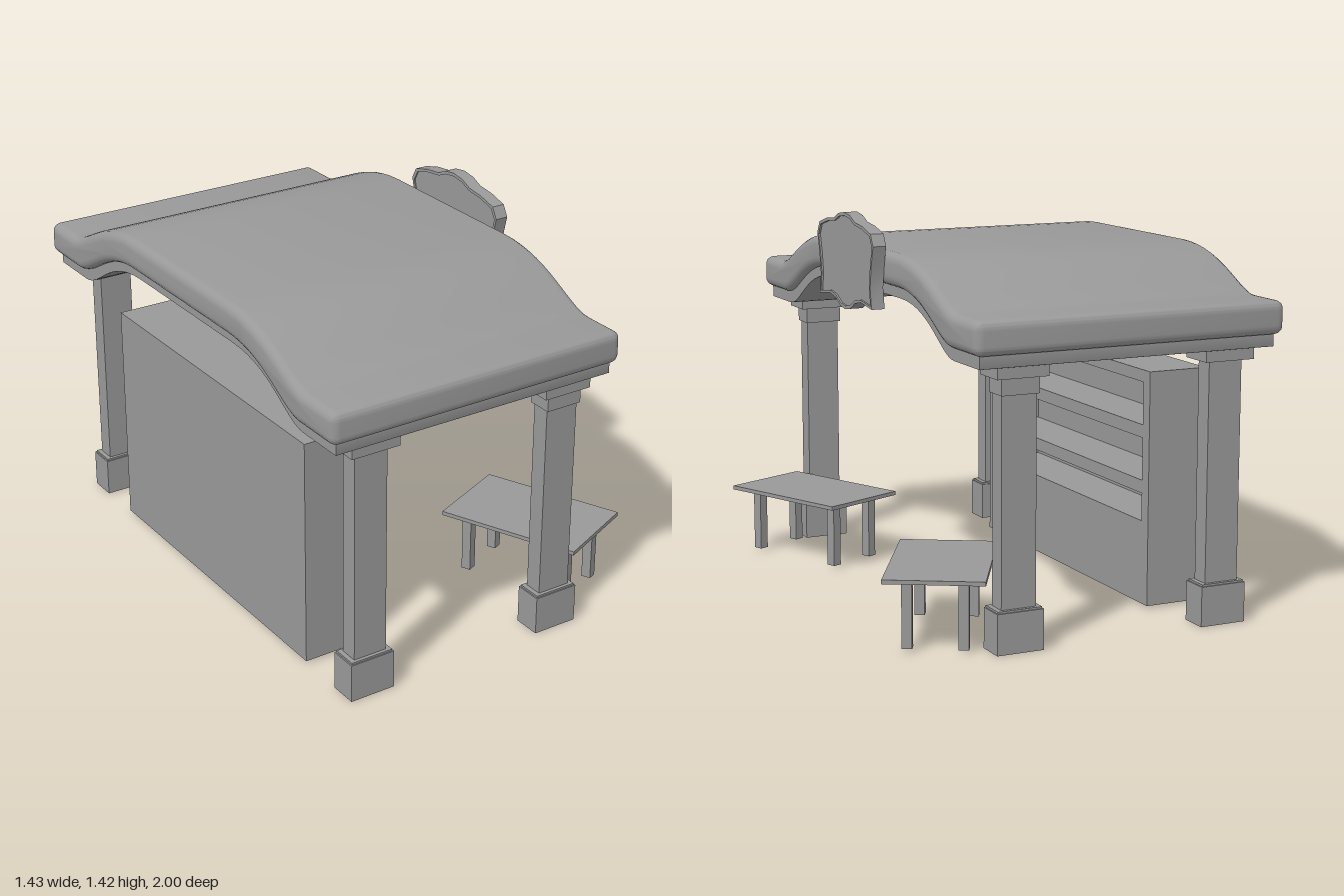
import * as THREE from 'three';
import { toCreasedNormals } from 'three/addons/utils/BufferGeometryUtils.js';

const grey = new THREE.MeshStandardMaterial({ color: 0x999999 });
grey.name = 'plain grey';

function add(parent, name, geometry, x = 0, y = 0, z = 0) {
  const mesh = new THREE.Mesh(geometry, grey);
  mesh.name = name;
  mesh.position.set(x, y, z);
  parent.add(mesh);
  return mesh;
}

// Box given by its size and the height of its underside
function block(parent, name, w, h, d, x, bottom, z) {
  return add(parent, name, new THREE.BoxGeometry(w, h, d), x, bottom + h / 2, z);
}

// Extrude a shape drawn in the z-y plane from x0 to x1
function extrudeX(shape, x0, x1, bevel = 0) {
  const g = new THREE.ExtrudeGeometry(shape, {
    depth: x1 - x0 - 2 * bevel, curveSegments: 14,
    bevelEnabled: bevel > 0, bevelSize: bevel, bevelThickness: bevel,
    bevelOffset: -bevel, bevelSegments: 4,
  });
  g.rotateY(Math.PI / 2);
  g.translate(x0 + bevel, 0, 0);
  return toCreasedNormals(g, 0.6);
}

// Arched slab: flat eaves, S-curves and a flat crown; r rounds the eave corners
function archShape(end, top, bottom, crownTop, crownBottom, topBend, bottomBend, r) {
  const s = new THREE.Shape();
  const crown = 0.33;
  s.moveTo(-end, bottom + r);
  s.quadraticCurveTo(-end, bottom, -end + r, bottom);
  s.lineTo(-bottomBend, bottom);
  s.bezierCurveTo(-bottomBend + 0.11, bottom, -0.58, crownBottom, -crown, crownBottom);
  s.lineTo(crown, crownBottom);
  s.bezierCurveTo(0.58, crownBottom, bottomBend - 0.11, bottom, bottomBend, bottom);
  s.lineTo(end - r, bottom);
  s.quadraticCurveTo(end, bottom, end, bottom + r);
  s.lineTo(end, top - r);
  s.quadraticCurveTo(end, top, end - r, top);
  s.lineTo(topBend, top);
  s.bezierCurveTo(topBend - 0.11, top, 0.6, crownTop, crown, crownTop);
  s.lineTo(-crown, crownTop);
  s.bezierCurveTo(-0.6, crownTop, -topBend + 0.11, top, -topBend, top);
  s.lineTo(-end + r, top);
  s.quadraticCurveTo(-end, top, -end, top - r);
  return s;
}

function rectangle(Type, w, y0, y1) {
  return new Type([[-w, y0], [w, y0], [w, y1], [-w, y1]].map(([a, b]) => new THREE.Vector2(a, b)));
}

function makeColumn(x, z, hasNeck) {
  const column = new THREE.Group();
  column.name = 'column';
  block(column, 'columnBase', 0.176, 0.145, 0.106, 0, 0, 0);
  block(column, 'columnBaseTrim', 0.166, 0.007, 0.096, 0, 0.145, 0);
  block(column, 'columnShaft', 0.13, 0.8, 0.07, 0, 0.15, 0);
  if (hasNeck) block(column, 'columnNeck', 0.142, 0.06, 0.094, 0, 0.887, 0);
  block(column, 'columnCap', 0.192, 0.042, 0.132, 0, 0.946, 0);
  column.position.set(x, 0, z);
  return column;
}

function makeTable(x, z, turn) {
  const table = new THREE.Group();
  table.name = 'table';
  block(table, 'tableTop', 0.553, 0.015, 0.352, 0, 0.25, 0);
  for (const sx of [-1, 1]) for (const sz of [-1, 1]) {
    block(table, 'tableLeg', 0.036, 0.242, 0.036, sx * 0.205, 0.01, sz * 0.097);
  }
  table.position.set(x, 0, z);
  table.rotation.y = turn;
  return table;
}

// Half of the scalloped sign outline, mirrored and scaled about its centre
function signPoints(inset) {
  const half = [[0, 1.065], [0.045, 1.072], [0.095, 1.098], [0.15, 1.108], [0.25, 1.095],
    [0.238, 1.17], [0.25, 1.25], [0.268, 1.32], [0.245, 1.362], [0.17, 1.382],
    [0.1, 1.39], [0.055, 1.41], [0, 1.418]];
  const mirrored = half.slice(1, -1).reverse().map(([a, b]) => [-a, b]);
  return half.concat(mirrored).map(([a, b]) => new THREE.Vector2(
    a * (1 - inset / 0.26), 1.24 + (b - 1.24) * (1 - inset / 0.17)));
}

export function createModel() {
  const model = new THREE.Group();
  model.name = 'marketStall';

  // Padded roof with a thinner layer underneath
  add(model, 'roof', extrudeX(archShape(1, 1.15, 1.03, 1.298, 1.178, 0.83, 0.79, 0.035), -0.72, 0.47, 0.034));
  add(model, 'roofUnderlayer', extrudeX(archShape(0.972, 1.07, 0.987, 1.22, 1.141, 0.81, 0.775, 0.002), -0.688, 0.442));

  // Four columns
  for (const z of [-0.893, 0.893]) {
    model.add(makeColumn(-0.522, z, false), makeColumn(0.275, z, true));
  }

  // Shelf cabinet with three open compartments
  const cabinet = new THREE.Group();
  cabinet.name = 'cabinet';
  const front = rectangle(THREE.Shape, 0.656, 0.008, 0.87);
  for (const [y0, y1] of [[0.316, 0.418], [0.466, 0.622], [0.67, 0.826]]) {
    front.holes.push(rectangle(THREE.Path, 0.608, y0, y1));
  }
  add(cabinet, 'cabinetShelves', extrudeX(front, -0.58, -0.38));
  block(cabinet, 'cabinetBack', 0.03, 0.862, 1.312, -0.595, 0.008, 0);
  model.add(cabinet);

  // Scalloped sign: rim and slightly recessed panel
  const sign = new THREE.Group();
  sign.name = 'sign';
  const rim = new THREE.Shape(signPoints(0));
  rim.holes.push(new THREE.Path(signPoints(0.012)));
  add(sign, 'signRim', extrudeX(rim, 0.47, 0.52));
  add(sign, 'signPanel', extrudeX(new THREE.Shape(signPoints(0.011)), 0.475, 0.513));
  model.add(sign);

  // Two tables set at an angle
  model.add(makeTable(0.422, -0.624, 1.047), makeTable(0.424, 0.592, -1.159));

  return model;
}
